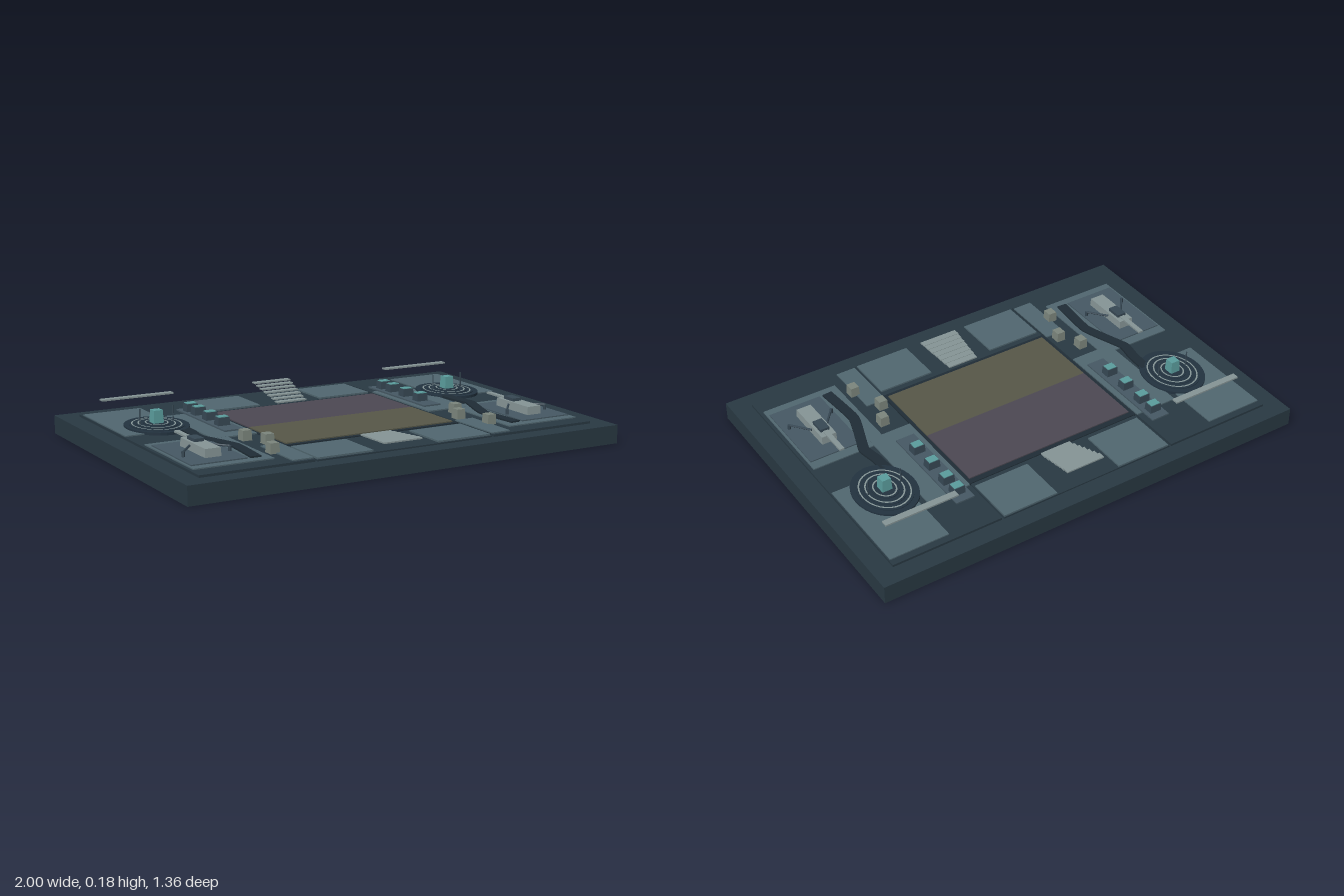
import * as THREE from 'three';

const mats = {};
const C = {
  base: 0x283842, trim: 0x1f2c35, plate: 0x50666f, pad: 0x455863, metal: 0x859495,
  teal: 0x5a9c9c, pod: 0x364753, purple: 0x4c4852, olive: 0x565748, disc: 0x22323f, crate: 0x7b857c,
};

function add(parent, name, geometry, color) {
  mats[color] ??= new THREE.MeshStandardMaterial({ color, flatShading: true });
  const mesh = new THREE.Mesh(geometry, mats[color]);
  mesh.name = name;
  parent.add(mesh);
  return mesh;
}

// Box given by its bounds
function slab(parent, name, x0, x1, y0, y1, z0, z1, color) {
  const g = new THREE.BoxGeometry(Math.abs(x1 - x0), y1 - y0, Math.abs(z1 - z0));
  g.translate((x0 + x1) / 2, (y0 + y1) / 2, (z0 + z1) / 2);
  return add(parent, name, g, color);
}

// Box whose top is pulled in
function taperedBox(w, h, d, inset) {
  const g = new THREE.BoxGeometry(w, h, d);
  const p = g.attributes.position;
  for (let i = 0; i < p.count; i++) {
    if (p.getY(i) > 0) {
      p.setX(i, p.getX(i) - Math.sign(p.getX(i)) * inset);
      p.setZ(i, p.getZ(i) - Math.sign(p.getZ(i)) * inset);
    }
  }
  return g.translate(0, h / 2, 0);
}

// Flat strip following a line of [x, z] points
function ribbon(points, width, y0, y1) {
  const curve = new THREE.CatmullRomCurve3(points.map(([x, z]) => new THREE.Vector3(x, -z, 0)), false, 'catmullrom', 0.2);
  const left = [], right = [];
  for (let i = 0; i <= 24; i++) {
    const p = curve.getPoint(i / 24), t = curve.getTangent(i / 24);
    left.push(new THREE.Vector2(p.x - t.y * width / 2, p.y + t.x * width / 2));
    right.unshift(new THREE.Vector2(p.x + t.y * width / 2, p.y - t.x * width / 2));
  }
  const g = new THREE.ExtrudeGeometry(new THREE.Shape([...left, ...right]), { depth: y1 - y0, bevelEnabled: false });
  return g.rotateX(-Math.PI / 2).translate(0, y0, 0);
}

// Thin rod between two points
function rod(a, b, r) {
  const from = new THREE.Vector3(...a), to = new THREE.Vector3(...b);
  const dir = to.clone().sub(from);
  const g = new THREE.CylinderGeometry(r, r, dir.length(), 6);
  g.applyQuaternion(new THREE.Quaternion().setFromUnitVectors(new THREE.Vector3(0, 1, 0), dir.normalize()));
  const m = from.add(to).multiplyScalar(0.5);
  return g.translate(m.x, m.y, m.z);
}

// Row of steps that widens away from the board
function steps(parent, name, dir, start, rise) {
  const group = new THREE.Group();
  group.name = name;
  const n = 7, pitch = 0.215 / n;
  for (let i = 0; i < n; i++) {
    const half = 0.072 + 0.018 * (i / (n - 1)), z = dir * (start + i * pitch);
    const y = 0.093 + rise * i / (n - 1);
    slab(group, 'step', -half, half, y, y + 0.006, z, z + dir * (pitch + 0.001), C.metal);
  }
  parent.add(group);
}

// One wing of the board; s is +1 for left and -1 for right
function wing(s) {
  const g = new THREE.Group();
  g.name = s > 0 ? 'leftWing' : 'rightWing';
  const box = (name, x0, x1, y0, y1, z0, z1, color) => slab(g, name, s * x0, s * x1, y0, y1, z0, z1, color);

  // Deck and raised floor plates
  box('wingDeck', 0.42, 0.915, 0.08, 0.09, -0.6, 0.6, C.base);
  box('rearPlate', 0.645, 0.91, 0.09, 0.095, -0.57, -0.105, C.plate);
  box('innerPlate', 0.555, 0.618, 0.09, 0.0955, -0.365, 0.11, C.plate);
  box('innerPlate', 0.42, 0.555, 0.09, 0.0955, -0.365, 0.11, C.plate);
  box('frontPlate', 0.555, 0.9, 0.09, 0.095, 0.065, 0.52, C.plate);
  box('cornerPlate', 0.42, 0.51, 0.09, 0.095, 0.315, 0.585, C.plate);
  box('vehiclePad', 0.65, 0.89, 0.095, 0.1, 0.11, 0.48, C.pad);

  // Winding path
  const path = [[0.65, -0.12], [0.655, -0.02], [0.668, 0.06], [0.645, 0.13], [0.6, 0.27], [0.615, 0.48]];
  add(g, 'path', ribbon(path.map(([x, z]) => [s * x, z]), 0.045, 0.093, 0.102), C.trim);

  // Oval stepped platform with inlaid rings
  const tower = new THREE.Group();
  tower.name = 'ovalPlatform';
  tower.position.set(s * 0.725, 0.09, -0.21);
  const oval = new THREE.Group();
  oval.name = 'ovalSteps';
  oval.scale.z = 1.22;
  tower.add(oval);
  [[0.133, 0.012], [0.112, 0.015], [0.085, 0.018], [0.055, 0.021]].forEach(([r, h]) => {
    add(oval, 'platformStep', new THREE.CylinderGeometry(r, r, h, 32).translate(0, h / 2, 0), C.disc);
  });
  [[0.1, 0.015], [0.075, 0.018], [0.045, 0.021]].forEach(([r, h]) => {
    add(oval, 'platformRing', new THREE.RingGeometry(r - 0.003, r + 0.003, 32).rotateX(-Math.PI / 2).translate(0, h + 0.001, 0), C.metal);
  });
  add(tower, 'core', taperedBox(0.046, 0.055, 0.046, 0.003).translate(0, 0.02, 0), C.teal);
  for (const x of [-0.075, 0.075]) {
    add(tower, 'mast', rod([x, 0.01, 0], [x, 0.086, 0], 0.003), C.pod);
  }
  g.add(tower);

  // Overhead beam
  box('beam', 0.54, 0.87, 0.17, 0.177, -0.475, -0.445, C.metal);

  // Strip of pods with bright caps
  box('podStrip', 0.445, 0.53, 0.0955, 0.102, -0.44, 0.035, C.pad);
  for (const z of [-0.38, -0.3, -0.187, -0.07]) {
    add(g, 'pod', taperedBox(0.054, 0.034, 0.044, 0.002).translate(s * 0.49, 0.102, z), C.pod);
    slab(g, 'podCap', s * 0.49 - 0.022, s * 0.49 + 0.022, 0.136, 0.139, z - 0.018, z + 0.018, C.teal);
  }

  // Crates
  for (const [x, z] of [[0.51, 0.18], [0.46, 0.28], [0.515, 0.428]]) {
    add(g, 'crate', taperedBox(0.042, 0.043, 0.046, 0.002).translate(s * x, 0.091, z), C.crate);
  }

  // Vehicle with cabin, boom and spread legs
  const v = new THREE.Group();
  v.name = 'vehicle';
  v.position.set(s * 0.763, 0.1, 0);
  add(v, 'body', taperedBox(0.07, 0.035, 0.23, 0.002).translate(0, 0, 0.295), C.metal);
  slab(v, 'cabin', -0.021, 0.021, 0.035, 0.048, 0.215, 0.285, C.pod);
  slab(v, 'boom', -0.011, 0.011, 0.03, 0.038, 0.07, 0.215, C.metal);
  for (const x of [-1, 1]) {
    add(v, 'leg', rod([x * 0.035, 0.02, 0.27], [x * 0.1, 0.02, 0.35], 0.005), C.pod);
    add(v, 'foot', new THREE.CylinderGeometry(0.007, 0.007, 0.022, 6).translate(x * 0.1, 0.011, 0.35), C.pod);
  }
  g.add(v);
  return g;
}

export function createModel() {
  const model = new THREE.Group();
  model.name = 'tableBoard';

  // Base slab
  slab(model, 'base', -1, 1, 0, 0.08, -0.68, 0.68, C.base);

  // Centre deck, board frame and two playing halves
  slab(model, 'centreDeck', -0.41, 0.41, 0.08, 0.086, -0.6, 0.6, C.base);
  slab(model, 'boardFrame', -0.415, 0.415, 0.08, 0.09, -0.355, 0.345, C.trim);
  slab(model, 'rearHalf', -0.4, 0.4, 0.088, 0.095, -0.33, 0, C.purple);
  slab(model, 'frontHalf', -0.4, 0.4, 0.088, 0.095, 0, 0.325, C.olive);

  for (const s of [-1, 1]) {
    slab(model, 'rearFloorPlate', s * 0.153, s * 0.405, 0.084, 0.093, -0.597, -0.38, C.plate);
    slab(model, 'frontFloorPlate', s * 0.153, s * 0.405, 0.084, 0.093, 0.375, 0.592, C.plate);
    model.add(wing(s));
  }

  // Steep rear steps and shallow front steps
  steps(model, 'rearSteps', -1, 0.36, 0.056);
  steps(model, 'frontSteps', 1, 0.355, 0.011);
  return model;
}
